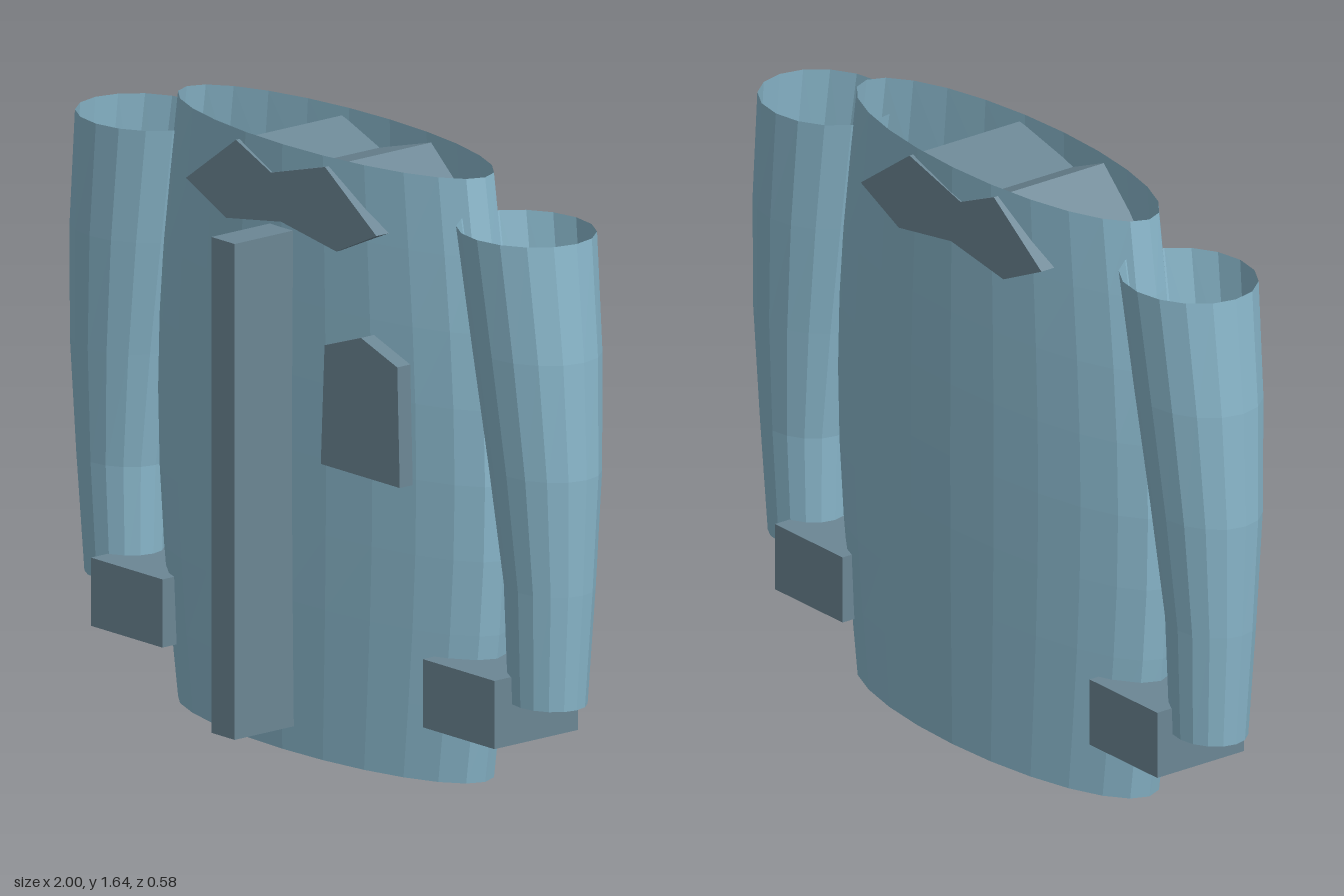
import * as THREE from 'three';

const cloth = new THREE.MeshStandardMaterial({ color: 0x8ab8cc, flatShading: true, side: THREE.DoubleSide });
const trim = new THREE.MeshStandardMaterial({ color: 0x6b8694, flatShading: true });
const MID_Z = -0.1; // depth of the garment's centre plane

function addMesh(parent, name, geometry, material) {
  const mesh = new THREE.Mesh(geometry, material);
  mesh.name = name;
  parent.add(mesh);
  return mesh;
}

// Open tube with elliptical rings; ring(t) gives centre x and radii, t from 0 (bottom) to 1 (top)
function ellipticTube(y0, y1, sides, rows, ring) {
  const geo = new THREE.CylinderGeometry(1, 1, 1, sides, rows, true);
  const pos = geo.attributes.position;
  for (let i = 0; i < pos.count; i++) {
    const t = pos.getY(i) + 0.5;
    const { x, rx, rz } = ring(t);
    pos.setXYZ(i, x + pos.getX(i) * rx, y0 + t * (y1 - y0), MID_Z + pos.getZ(i) * rz);
  }
  geo.computeVertexNormals();
  return geo;
}

// Box from its lower and upper corner
function boxBetween([x0, y0, z0], [x1, y1, z1]) {
  return new THREE.BoxGeometry(x1 - x0, y1 - y0, z1 - z0)
    .translate((x0 + x1) / 2, (y0 + y1) / 2, (z0 + z1) / 2);
}

// Flat outline extruded from z0 to z1
function plate(points, z0, z1) {
  const shape = new THREE.Shape(points.map(([x, y]) => new THREE.Vector2(x, y)));
  return new THREE.ExtrudeGeometry(shape, { depth: z1 - z0, bevelEnabled: false }).translate(0, 0, z0);
}

export function createModel() {
  const jacket = new THREE.Group();
  jacket.name = 'jacket';

  // Barrel-shaped torso, open at neck and hem
  addMesh(jacket, 'torso', ellipticTube(0, 1.64, 24, 8, (t) => {
    const bulge = Math.sin(Math.PI * t);
    return { x: 0, rx: 0.595 + 0.08 * bulge, rz: 0.186 + 0.007 * bulge };
  }), cloth);

  // Sleeve rings from wrist to shoulder: inner x, outer x, depth radius
  const rings = [
    [0.73, 0.96, 0.095],
    [0.72, 0.985, 0.11],
    [0.67, 1.0, 0.135],
    [0.615, 0.99, 0.157],
    [0.56, 0.96, 0.172],
  ];
  for (const [side, sign] of [['left', 1], ['right', -1]]) {
    addMesh(jacket, side + 'Sleeve', ellipticTube(0.27, 1.535, 16, rings.length - 1, (t) => {
      const [inner, outer, rz] = rings[Math.round(t * (rings.length - 1))];
      return { x: sign * (inner + outer) / 2, rx: (outer - inner) / 2, rz };
    }), cloth);

    // Block cuff
    const cuff = addMesh(jacket, side + 'Cuff', new THREE.BoxGeometry(0.285, 0.185, 0.29), trim);
    cuff.position.set(sign * 0.662, 0.252, -0.095);
  }

  // Front placket, half sunk into the torso
  addMesh(jacket, 'placket', boxBetween([-0.048, 0.07, -0.11], [0.045, 1.415, 0.29]), trim);

  // Collar passing through the torso
  addMesh(jacket, 'collar', plate([
    [-0.38, 1.47], [-0.22, 1.395], [0, 1.43], [0.22, 1.395],
    [0.38, 1.47], [0.175, 1.615], [-0.04, 1.555], [-0.18, 1.615],
  ], -0.29, 0.09), trim);

  // Chest pocket
  addMesh(jacket, 'pocket', plate([
    [0.21, 0.825], [0.525, 0.825], [0.515, 1.15], [0.37, 1.2], [0.225, 1.15],
  ], 0.09, 0.135), trim);

  return jacket;
}
